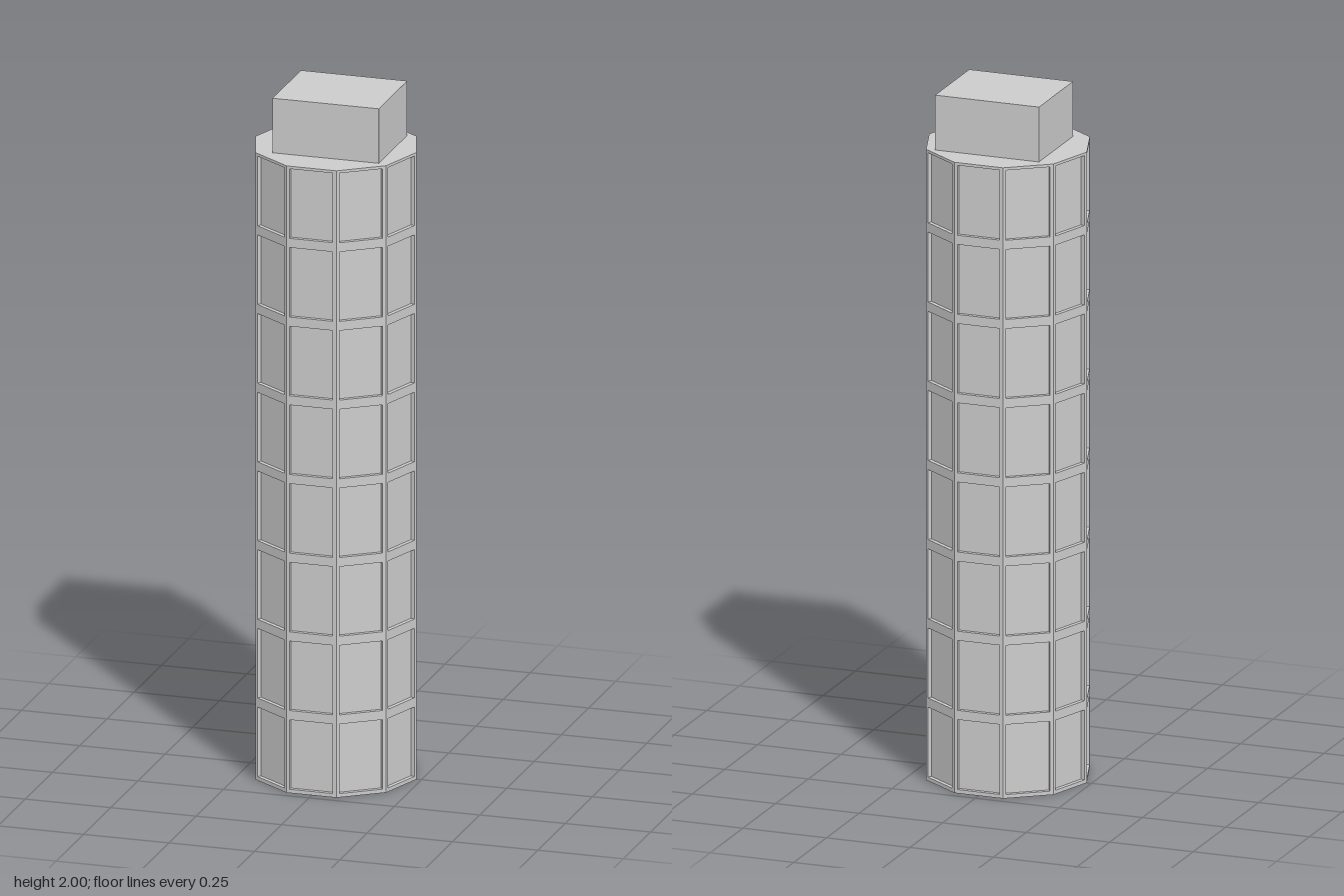
import * as THREE from 'three';

const SIDES = 10, ROWS = 8;
const RADIUS = 0.236, HEIGHT = 1.84, RECESS = 0.012;
const APOTHEM = RADIUS * Math.cos(Math.PI / SIDES);
const HALF = RADIUS * Math.sin(Math.PI / SIDES);

function rect(target, x0, y0, x1, y1) {
  target.moveTo(x0, y0);
  target.lineTo(x1, y0);
  target.lineTo(x1, y1);
  target.lineTo(x0, y1);
  target.closePath();
  return target;
}

// One wall of the tower: a thin slab with a column of window openings
function facadeGeometry() {
  const shape = rect(new THREE.Shape(), -HALF, 0, HALF, HEIGHT);
  for (let i = 0; i < ROWS; i++) {
    const y = 0.011 + i * 0.231;
    shape.holes.push(rect(new THREE.Path(), -0.064, y, 0.062, y + 0.204));
  }
  const geo = new THREE.ExtrudeGeometry(shape, { depth: RECESS, bevelEnabled: false });
  return geo.translate(0, 0, APOTHEM - RECESS);
}

export function createModel() {
  const group = new THREE.Group();
  group.name = 'tower';
  const material = new THREE.MeshStandardMaterial({ color: 0xcccccc, flatShading: true });

  // Inner core, whose sides are the recessed window panes
  const coreRadius = (APOTHEM - RECESS) / Math.cos(Math.PI / SIDES);
  const core = new THREE.Mesh(
    new THREE.CylinderGeometry(coreRadius, coreRadius, HEIGHT, SIDES, 1, false, Math.PI / SIDES),
    material
  );
  core.name = 'windowCore';
  core.position.y = HEIGHT / 2;
  group.add(core);

  // Window frames around the ten sides
  const facade = facadeGeometry();
  for (let i = 0; i < SIDES; i++) {
    const wall = new THREE.Mesh(facade, material);
    wall.name = `windowFrame${i + 1}`;
    wall.rotation.y = (i * 2 * Math.PI) / SIDES;
    group.add(wall);
  }

  // Plant room on the roof, slightly off centre
  const roofBlock = new THREE.Mesh(new THREE.BoxGeometry(0.311, 2 - HEIGHT, 0.261), material);
  roofBlock.name = 'roofBlock';
  roofBlock.position.set(0.0095, (2 + HEIGHT) / 2, -0.0055);
  group.add(roofBlock);

  return group;
}
